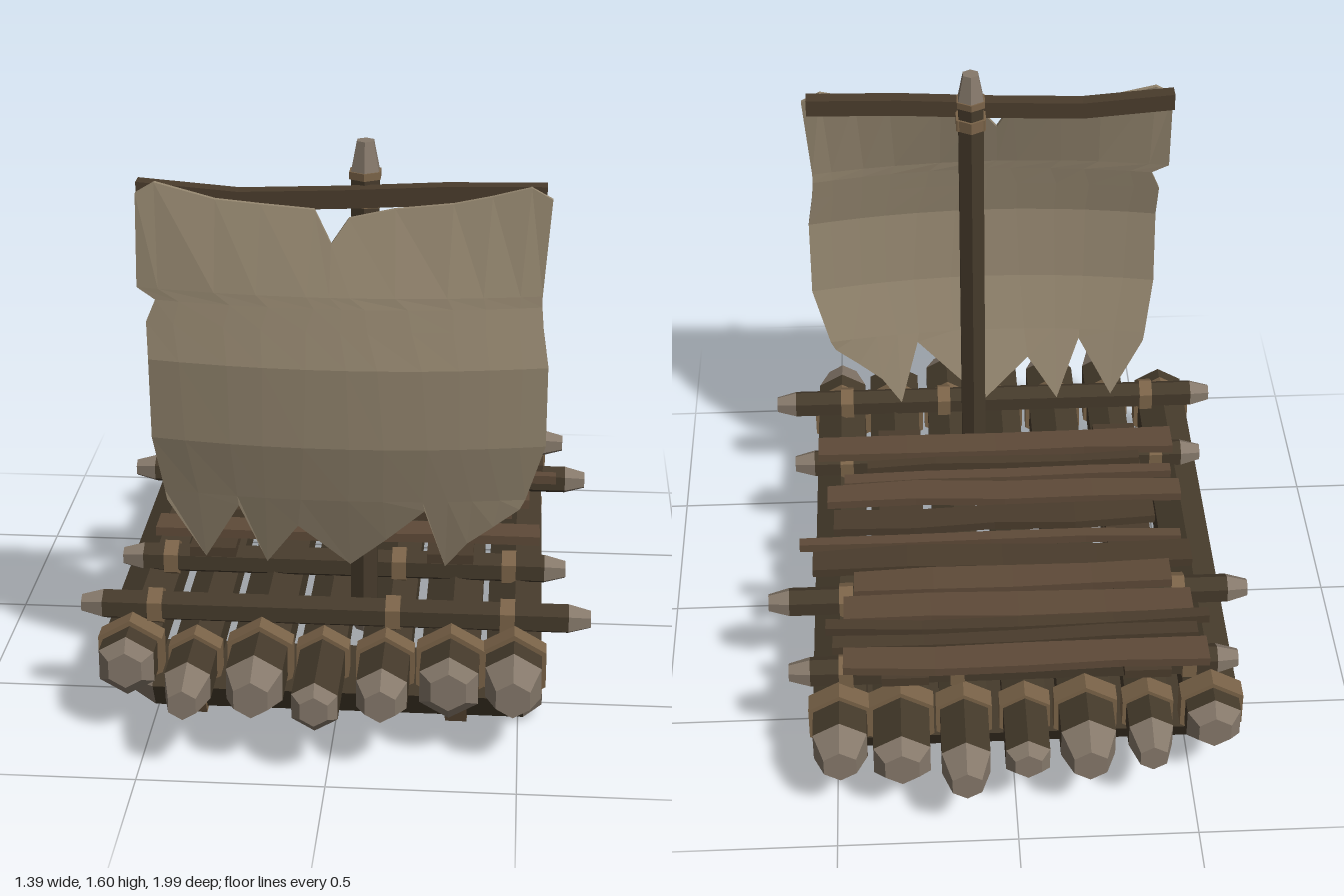
import * as THREE from 'three';

const mat = (color, side = THREE.FrontSide) =>
  new THREE.MeshStandardMaterial({ color, flatShading: true, side });
const WOOD = mat(0x453a2b), CUT = mat(0x85786a), ROPE = mat(0x7a6348);
const PLANK = mat(0x5e4a38), PLANK_DARK = mat(0x4a3c2c);
const SAIL = mat(0x94866f, THREE.DoubleSide);

let seed = 7;
const rand = () => (seed = (seed * 16807) % 2147483647) / 2147483647 - 0.5;

function part(name, geometry, material, x = 0, y = 0, z = 0) {
  const m = new THREE.Mesh(geometry, material);
  m.name = name;
  m.position.set(x, y, z);
  return m;
}

// Six-sided log along y with pale tapered ends; from and to are its tips
function makeLog(name, r, from, to, capA, capB) {
  const g = new THREE.Group();
  g.name = name;
  const a = from + capA, b = to - capB;
  g.add(part('trunk', new THREE.CylinderGeometry(r, r, b - a, 6), WOOD, 0, (a + b) / 2));
  g.add(part('lowerEnd', new THREE.CylinderGeometry(r, r * 0.6, capA, 6), CUT, 0, from + capA / 2));
  g.add(part('upperEnd', new THREE.CylinderGeometry(r * 0.6, r, capB, 6), CUT, 0, to - capB / 2));
  return g;
}
const ropeRing = (r, width, at) =>
  part('ropeBinding', new THREE.CylinderGeometry(r, r, width, 6), ROPE, 0, at);

// Points the log's own y axis along +z or +x
function alongZ(g, x, y) { g.rotation.x = Math.PI / 2; g.position.set(x, y, 0); return g; }
function alongX(g, y, z, pointyTop) {
  g.rotation.set(0, 0, -Math.PI / 2);
  if (pointyTop) g.children.forEach(c => { c.rotation.y = Math.PI / 2; });
  g.position.set(0, y, z);
  return g;
}

// Slightly warped plank along x
function makePlank(name, x0, x1, y, z, width, thick, material) {
  const n = 4, geo = new THREE.BoxGeometry(x1 - x0, thick, width, n, 1, 1);
  const dy = [], dz = [], dw = [];
  for (let i = 0; i <= n; i++) {
    dy.push(rand() * 0.012); dz.push(rand() * 0.018); dw.push(1 + rand() * 0.2);
  }
  const p = geo.attributes.position;
  for (let i = 0; i < p.count; i++) {
    const k = Math.round((p.getX(i) / (x1 - x0) + 0.5) * n);
    p.setY(i, p.getY(i) + dy[k]);
    p.setZ(i, p.getZ(i) * dw[k] + dz[k]);
  }
  return part(name, geo, material, (x0 + x1) / 2, y, z);
}

// Piecewise-linear lookup in [key, value] pairs with falling keys
function lookup(table, t) {
  for (let i = 1; i < table.length; i++) {
    const [k0, v0] = table[i - 1], [k1, v1] = table[i];
    if (t >= k1) return v0 + (v1 - v0) * Math.min(1, (k0 - t) / (k0 - k1));
  }
  return table[table.length - 1][1];
}

// Billowing sail with a torn hem: two skins and a rim
function makeSail() {
  // each column: top x, top y, hem x, hem y
  const cols = [
    [-0.53, 1.47, -0.47, 0.6], [-0.48, 1.5, -0.37, 0.42], [-0.32, 1.46, -0.27, 0.6],
    [-0.2, 1.45, -0.2, 0.41], [-0.06, 1.44, -0.11, 0.54], [-0.015, 1.355, 0.03, 0.41],
    [0.03, 1.42, 0.13, 0.5], [0.15, 1.445, 0.235, 0.6], [0.3, 1.46, 0.29, 0.41],
    [0.4, 1.48, 0.35, 0.49], [0.5, 1.505, 0.42, 0.545], [0.555, 1.475, 0.49, 0.6]];
  const left = [-0.53, -0.48, -0.505, -0.5, -0.5, -0.475];
  const right = [0.535, 0.535, 0.54, 0.555, 0.555, 0.505];
  const rowY = [1.22, 1.19, 1.13, 1.03, 0.8, 0.63];
  const belly = [[1.5, 0.535], [1.25, 0.605], [1.03, 0.64], [0.8, 0.62], [0.6, 0.565], [0.41, 0.5]];
  const nc = cols.length, nr = rowY.length + 2, pos = [], idx = [];
  for (const back of [0, 0.014]) {
    for (let r = 0; r < nr; r++) {
      for (const [tx, ty, bx, by] of cols) {
        let x = tx, y = ty;
        if (r === nr - 1) { x = bx; y = by; }
        else if (r > 0) {
          const t = r / (nr - 1);
          const f = (1 - t) * (tx + 0.53) / 1.085 + t * (bx + 0.47) / 0.96;
          x = left[r - 1] + (right[r - 1] - left[r - 1]) * f;
          y = rowY[r - 1];
        }
        const curve = 0.2 * Math.max(0, Math.min(1, (1.5 - y) / 0.3, (y - 0.35) / 0.3));
        pos.push(x, y, lookup(belly, y) - curve * x * x - back);
      }
    }
  }
  const N = nc * nr;
  const quad = (a, b, c, d) => idx.push(a, b, c, a, c, d);
  for (let r = 0; r < nr - 1; r++) {
    for (let c = 0; c < nc - 1; c++) {
      const a = r * nc + c, b = a + nc;
      quad(a, b, b + 1, a + 1);
      quad(a + N, a + 1 + N, b + 1 + N, b + N);
    }
  }
  const rim = [];
  for (let c = 0; c < nc; c++) rim.push(c);
  for (let r = 1; r < nr; r++) rim.push(r * nc + nc - 1);
  for (let c = nc - 2; c >= 0; c--) rim.push((nr - 1) * nc + c);
  for (let r = nr - 2; r > 0; r--) rim.push(r * nc);
  rim.forEach((a, i) => {
    const b = rim[(i + 1) % rim.length];
    quad(a, b, b + N, a + N);
  });
  const geo = new THREE.BufferGeometry();
  geo.setAttribute('position', new THREE.Float32BufferAttribute(pos, 3));
  geo.setIndex(idx);
  geo.computeVertexNormals();
  return part('sail', geo, SAIL);
}

export function createModel() {
  const raft = new THREE.Group();
  raft.name = 'raft';

  // Deck logs: x, radius, back tip, front tip, back end length, front end length
  for (const [x, r, z0, z1, ca, cb] of [
    [-0.555, 0.086, -0.83, 0.8, 0.04, 0.03], [-0.375, 0.07, -0.92, 0.98, 0.09, 0.11],
    [-0.2, 0.087, -0.94, 0.94, 0.09, 0.09], [-0.03, 0.07, -0.935, 0.99, 0.03, 0.03],
    [0.14, 0.077, -1, 0.95, 0.09, 0.07], [0.315, 0.09, -0.93, 0.86, 0.04, 0.03],
    [0.485, 0.086, -0.91, 0.89, 0.08, 0.1]]) {
    const g = makeLog('deckLog', r, z0, z1, ca, cb);
    g.add(ropeRing(r * 1.17, 0.06, 0.69 + rand() * 0.03), ropeRing(r * 1.17, 0.06, -0.71));
    raft.add(alongZ(g, x, 0.215));
  }

  // Heavy cross logs underneath
  for (const z of [0.57, -0.59]) {
    const g = makeLog('crossLog', 0.09, -0.565, 0.565, 0.06, 0.05);
    g.add(ropeRing(0.108, 0.06, -0.39), ropeRing(0.108, 0.06, 0.33));
    raft.add(alongX(g, 0.095, z, false));
  }

  // Thin poles lashed across the deck
  for (const [z, x0, x1] of [[0.61, -0.7, 0.69], [0.3, -0.635, 0.625],
    [-0.345, -0.7, 0.69], [-0.64, -0.635, 0.625]]) {
    const g = makeLog('deckPole', 0.043, x0, x1, 0.06, 0.06);
    for (const x of [-0.495, 0.155, 0.465]) g.add(ropeRing(0.053, 0.04, x));
    raft.add(alongX(g, 0.32, z, true));
  }

  // Runners carrying the planks
  for (const x of [-0.37, 0.3]) {
    raft.add(part('plankRunner', new THREE.BoxGeometry(0.13, 0.028, 1.12), PLANK_DARK, x, 0.372, -0.19));
  }

  // Deck planks: z, width, x from, x to, dark
  for (const [z, w, x0, x1, dark] of [
    [-0.705, 0.09, -0.54, 0.47, 0], [-0.62, 0.045, -0.52, 0.5, 1], [-0.56, 0.04, -0.56, 0.52, 1],
    [-0.48, 0.095, -0.52, 0.47, 0], [-0.37, 0.09, -0.47, 0.44, 0], [-0.27, 0.09, -0.54, 0.56, 1],
    [-0.18, 0.035, -0.52, 0.6, 0], [-0.1, 0.085, -0.45, 0.5, 1], [0.02, 0.08, -0.54, 0.52, 0],
    [0.1, 0.04, -0.52, 0.47, 0], [0.16, 0.035, -0.43, 0.4, 1], [0.26, 0.095, -0.54, 0.55, 0]]) {
    raft.add(makePlank('deckPlank', x0, x1, 0.402 + rand() * 0.016, z, w, 0.026, dark ? PLANK_DARK : PLANK));
  }

  // Mast with rope near the top
  const mast = makeLog('mast', 0.042, 0.19, 1.6, 0.03, 0.08);
  mast.add(ropeRing(0.05, 0.035, 1.445), ropeRing(0.047, 0.02, 1.51));
  mast.position.set(0.065, 0, 0.445);
  raft.add(mast);

  // Sagging yard at the head of the sail
  const yardGeo = new THREE.BoxGeometry(1.07, 0.05, 0.045, 4, 1, 1);
  const p = yardGeo.attributes.position;
  for (let i = 0; i < p.count; i++) {
    const x = p.getX(i);
    p.setY(i, p.getY(i) + lookup([[0.54, 1.48], [0.27, 1.475], [0, 1.46], [-0.27, 1.45], [-0.54, 1.472]], x));
  }
  raft.add(part('yard', yardGeo, PLANK_DARK, 0.005, 0, 0.5));
  raft.add(part('yardLashing', new THREE.BoxGeometry(0.08, 0.035, 0.07), ROPE, 0.065, 1.445, 0.45));

  raft.add(makeSail());
  return raft;
}
